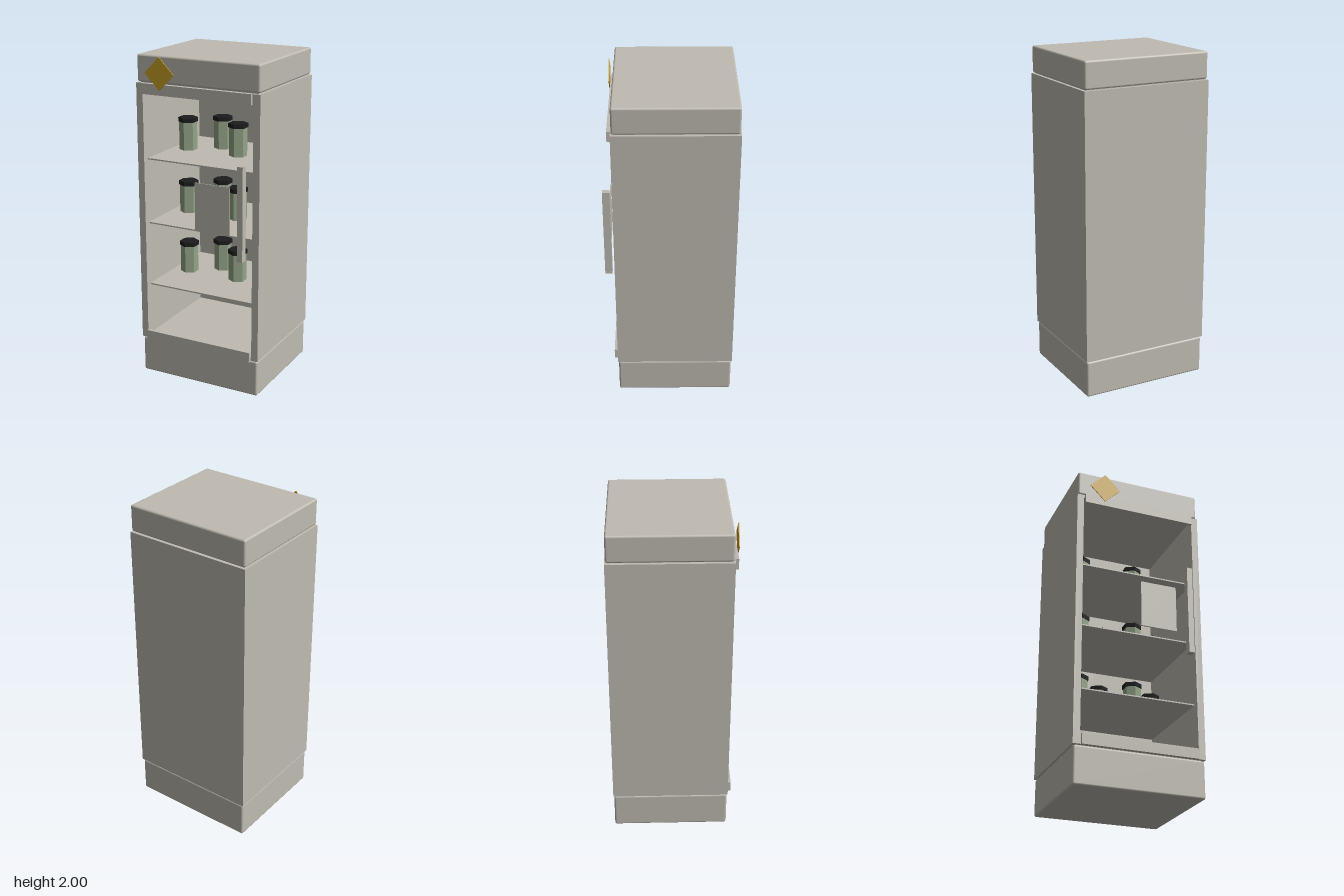
import * as THREE from 'three';
import { RoundedBoxGeometry } from 'three/addons/geometries/RoundedBoxGeometry.js';

export function createModel() {
  const model = new THREE.Group();
  model.name = 'displayFridge';

  const mat = (name, color, flatShading = false) => {
    const m = new THREE.MeshStandardMaterial({ color, flatShading });
    m.name = name;
    return m;
  };
  const casing = mat('warmGrey', 0xbfbbb1);
  const glassGreen = mat('bottleGreen', 0x93a488, true);
  const capBlack = mat('capBlack', 0x1c1c1e, true);
  const yellow = mat('signYellow', 0xc9a227);

  const add = (name, geometry, material, x, y, z, parent = model) => {
    const mesh = new THREE.Mesh(geometry, material);
    mesh.name = name;
    mesh.position.set(x, y, z);
    parent.add(mesh);
    return mesh;
  };
  // Box given by its low and high corners
  const box = (name, [x0, y0, z0], [x1, y1, z1], material = casing) =>
    add(name, new THREE.BoxGeometry(x1 - x0, y1 - y0, z1 - z0), material,
      (x0 + x1) / 2, (y0 + y1) / 2, (z0 + z1) / 2);

  // Open-fronted cabinet
  const back = -0.385, front = 0.325, low = 0.23, high = 1.835;
  box('rightWall', [-0.4, low, back], [-0.358, high, front]);
  box('leftWall', [0.358, low, back], [0.4, high, front]);
  box('backWall', [-0.358, low, back], [0.358, high, back + 0.04]);
  box('floor', [-0.358, low, back + 0.04], [0.358, low + 0.02, front]);
  box('ceiling', [-0.358, high - 0.02, back + 0.04], [0.358, high, front]);

  // Plinth and crown with softened edges
  const block = (name, y0, y1) => add(name,
    new RoundedBoxGeometry(0.79, y1 - y0, 0.7, 2, 0.012), casing, 0, (y0 + y1) / 2, -0.03);
  block('plinth', 0, 0.225);
  block('crown', 1.84, 2);
  // Recessed joints that close the gaps to the cabinet
  box('lowerJoint', [-0.38, 0.215, -0.365], [0.38, 0.235, 0.305]);
  box('upperJoint', [-0.38, 1.83, -0.365], [0.38, 1.85, 0.305]);

  // Door rails, handle and notice plate
  box('bottomRail', [-0.353, 0.225, front], [0.353, 0.287, 0.346]);
  box('topRail', [-0.353, 1.775, front], [0.353, 1.838, 0.346]);
  box('handle', [0.29, 0.865, 0.342], [0.325, 1.43, 0.385]);
  box('noticePlate', [0, 1.0, 0.349], [0.226, 1.292, 0.354]);

  // Diamond sign
  const sign = add('diamondSign', new THREE.BoxGeometry(0.136, 0.136, 0.005), yellow,
    -0.23, 1.9, 0.348);
  sign.rotation.z = Math.PI / 4;

  // Shelves with staggered six-sided bottles
  const bodyGeo = new THREE.CylinderGeometry(0.055, 0.055, 0.175, 6);
  const capGeo = new THREE.CylinderGeometry(0.06, 0.06, 0.026, 6);
  [0.58, 0.978, 1.378].forEach((y) => {
    box('shelf', [-0.358, y - 0.008, back + 0.04], [0.358, y, 0.285]);
    for (let i = 0; i < 4; i++) {
      const bottle = new THREE.Group();
      bottle.name = 'bottle';
      bottle.position.set(-0.254 + i * 0.1715, y, i % 2 ? -0.15 : -0.02);
      add('bottleBody', bodyGeo, glassGreen, 0, 0.0875, 0, bottle);
      add('bottleCap', capGeo, capBlack, 0, 0.187, 0, bottle);
      model.add(bottle);
    }
  });

  return model;
}
